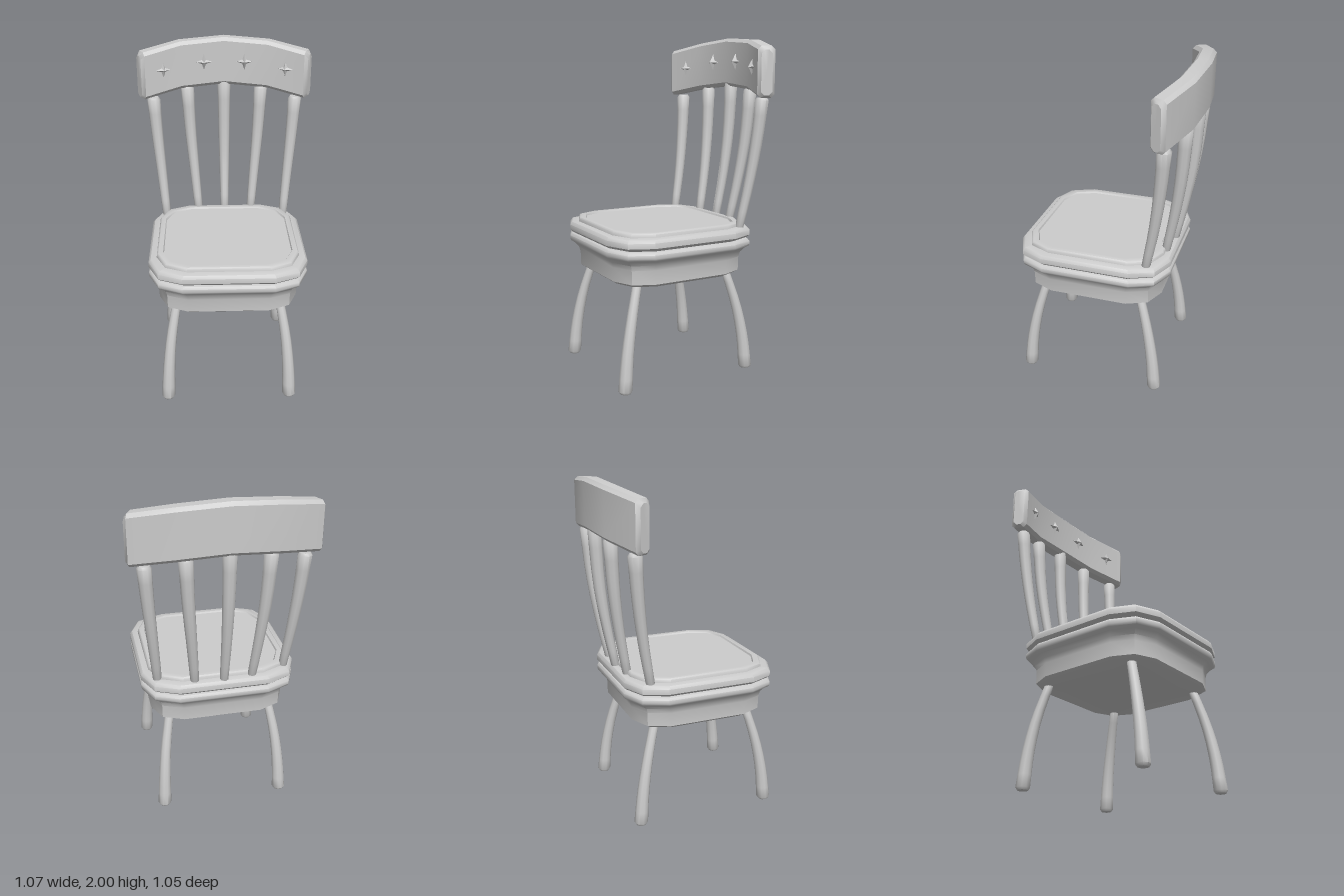
import * as THREE from 'three';
import { toCreasedNormals } from 'three/addons/utils/BufferGeometryUtils.js';

const material = new THREE.MeshStandardMaterial({ color: 0xcccccc });
const V = (x, y, z) => new THREE.Vector3(x, y, z);
const SEAT_Z = 0.06;

// Skin a list of equal-length rings (counter-clockwise around the path) and cap both ends.
function loft(rings, crease) {
  const n = rings[0].length, pts = rings.flat(), index = [];
  rings.slice(1).forEach((_, i) => {
    for (let j = 0; j < n; j++) {
      const a = i * n + j, b = i * n + (j + 1) % n;
      index.push(a, b, a + n, b, b + n, a + n);
    }
  });
  [0, rings.length - 1].forEach((r, end) => {
    const c = pts.length;
    pts.push(rings[r].reduce((s, p) => s.add(p), V(0, 0, 0)).divideScalar(n));
    for (let j = 0; j < n; j++) {
      const a = r * n + j, b = r * n + (j + 1) % n;
      index.push(c, end ? a : b, end ? b : a);
    }
  });
  const g = new THREE.BufferGeometry().setFromPoints(pts);
  g.setIndex(index);
  return toCreasedNormals(g, crease);
}

function add(group, name, geometry) {
  const mesh = new THREE.Mesh(geometry, material);
  mesh.name = name;
  group.add(mesh);
  return mesh;
}

// Square with two-step cut corners
function seatRing([h, y]) {
  const quarter = [[1, 0.57], [0.87, 0.87], [0.57, 1]];
  const ring = [];
  for (let q = 0; q < 4; q++) {
    for (const [u, v] of quarter) {
      const p = V(u * h, 0, -v * h).applyAxisAngle(V(0, 1, 0), q * Math.PI / 2);
      ring.push(V(p.x, y, p.z + SEAT_Z));
    }
  }
  return ring;
}

// Bent round rod that swells from radius r0 to r1, with softened ends
function rod(points, r0, r1) {
  const curve = new THREE.CatmullRomCurve3(points);
  const rings = [], steps = 8, sides = 10;
  const ring = (t, r, dy = 0) => {
    const c = curve.getPoint(t);
    rings.push(Array.from({ length: sides }, (_, j) => {
      const a = j / sides * Math.PI * 2;
      return V(c.x + r * Math.cos(a), c.y + dy, c.z - r * Math.sin(a));
    }));
  };
  ring(0, r0 * 0.75, -0.015);
  for (let i = 0; i <= steps; i++) ring(i / steps, r0 + (r1 - r0) * i / steps);
  ring(1, r1 * 0.75, 0.015);
  return loft(rings, 0.9);
}

// Chamfered upright section of the top rail, facing forward at the given turn
function railRing([x, z, y0, y1, turn, inset = 0]) {
  const b = 0.02, d = 0.05 - inset, h = (y1 - y0) / 2 - inset, y = (y0 + y1) / 2;
  const outline = [[h, -d + b], [h, d - b], [h - b, d], [-h + b, d],
    [-h, d - b], [-h, -d + b], [-h + b, -d], [h - b, -d]];
  return outline.map(([v, w]) => V(x - w * Math.sin(turn), y + v, z + w * Math.cos(turn)));
}

// Four-pointed faceted stud
function starGeometry() {
  const g = new THREE.ConeGeometry(0.066, 0.035, 8, 1).toNonIndexed();
  const p = g.attributes.position;
  for (let i = 0; i < p.count; i++) {
    const x = p.getX(i), z = p.getZ(i);
    if (Math.abs(x) > 0.01 && Math.abs(z) > 0.01) p.setXYZ(i, x * 0.36, p.getY(i), z * 0.36);
  }
  g.rotateX(Math.PI / 2);
  g.computeVertexNormals();
  return g;
}

export function createModel() {
  const chair = new THREE.Group();
  chair.name = 'chair';

  // Seat: flared base, then a grooved cushion board with a shallow panel
  const base = [[0.385, 0.6], [0.41, 0.618], [0.412, 0.7], [0.42, 0.73], [0.44, 0.755],
    [0.46, 0.768], [0.465, 0.78], [0.465, 0.8], [0.455, 0.813], [0.43, 0.817]];
  add(chair, 'seatBase', loft(base.map(seatRing), 0.75));
  const board = [[0.42, 0.81], [0.45, 0.822], [0.465, 0.837], [0.465, 0.867], [0.452, 0.884],
    [0.418, 0.888], [0.415, 0.905], [0.408, 0.912], [0.38, 0.912], [0.375, 0.902]];
  add(chair, 'seatBoard', loft(board.map(seatRing), 0.75));

  // Splayed legs
  for (const sx of [1, -1]) {
    for (const sz of [1, -1]) {
      const path = [[0.37, 0.015, 0.41], [0.362, 0.2, 0.392], [0.343, 0.4, 0.355], [0.305, 0.62, 0.295]];
      add(chair, sz > 0 ? 'frontLeg' : 'backLeg',
        rod(path.map(([x, y, z]) => V(sx * x, y, SEAT_Z + sz * z)), 0.041, 0.026));
    }
  }

  // Back spindles: foot x, foot z, top x, top y, top z
  const spindles = [[0, -0.367, 0, 1.74, -0.475], [0.17, -0.352, 0.23, 1.68, -0.455],
    [0.378, -0.285, 0.44, 1.63, -0.388]];
  for (const [x0, z0, x1, y1, z1] of spindles) {
    for (const s of x0 ? [1, -1] : [1]) {
      const at = (y, k, m) => V(s * (x0 + (x1 - x0) * k), y, z0 + (z1 - z0) * m);
      add(chair, 'backSpindle',
        rod([at(0.875, 0, 0), at(1.15, 0.4, 0.5), at(1.4, 0.75, 0.82), at(y1, 1, 1)], 0.026, 0.041));
    }
  }

  // Curved top rail
  const half = [[0, -0.48, 1.71, 2, 0], [0.275, -0.455, 1.688, 1.98, 0.24],
    [0.503, -0.368, 1.645, 1.935, 0.44], [0.521, -0.36, 1.64, 1.93, 0.47, 0.018]];
  const mirrored = half.slice(1).reverse().map(([x, z, a, b, t, i]) => [-x, z, a, b, -t, i]);
  add(chair, 'topRail', loft([...mirrored, ...half].map(railRing), 0.6));

  // Star studs on the front of the rail
  for (const s of [1, -1]) {
    for (const [x, y, z, turn] of [[0.124, 1.855, -0.41, 0.08], [0.37, 1.82, -0.358, 0.37]]) {
      const star = add(chair, 'starStud', starGeometry());
      star.position.set(s * x, y, z);
      star.rotation.y = -s * turn;
    }
  }
  return chair;
}
